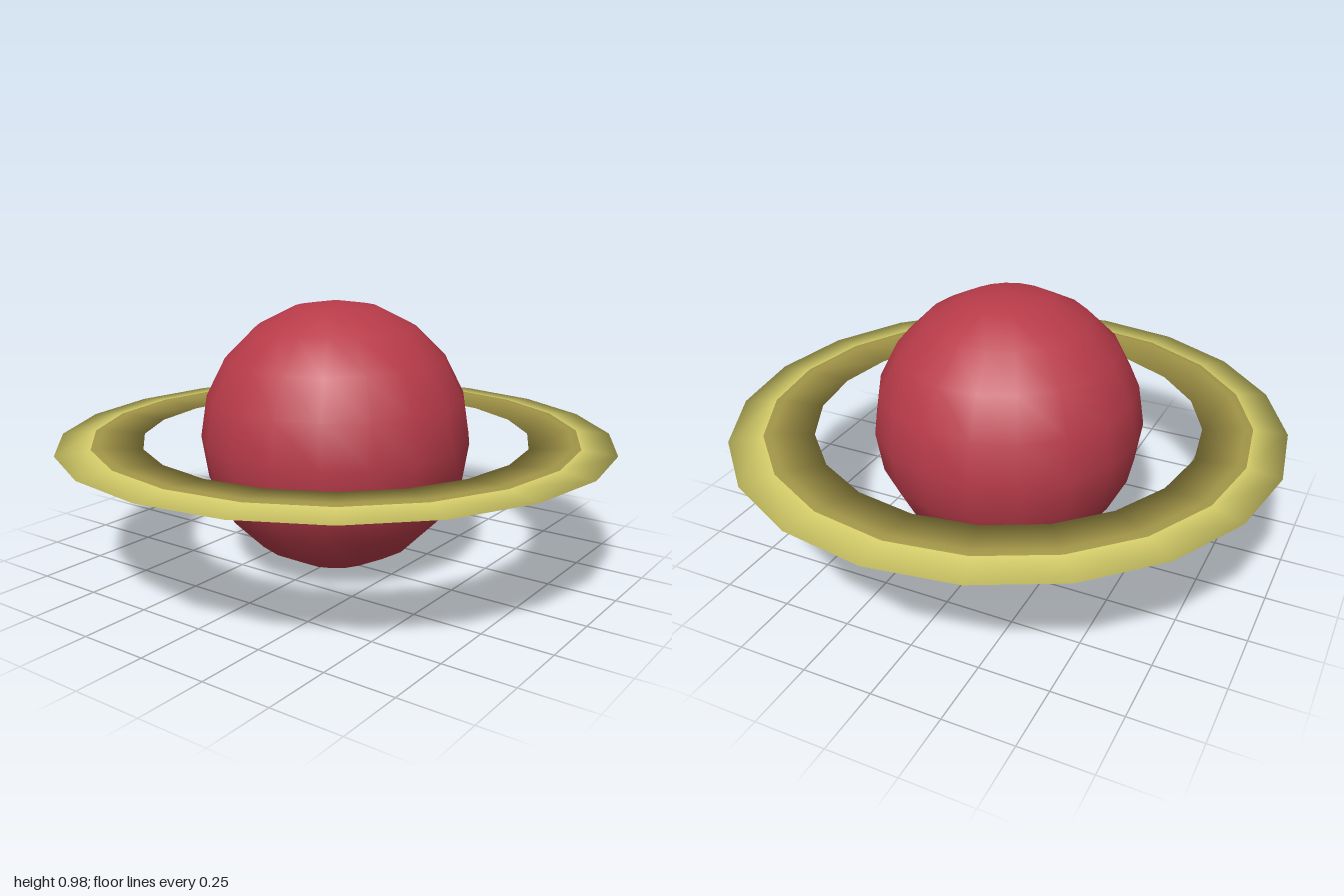
import * as THREE from 'three';

const CENTRE_Y = 0.495;

// Revolved strip; each profile entry is [radius, y, normalR, normalY], listed counter-clockwise.
function revolve(profile, segments) {
  const points = profile.map(([r, y]) => new THREE.Vector2(r, y));
  const geometry = new THREE.LatheGeometry(points, segments);
  const normals = geometry.attributes.normal;
  for (let i = 0; i <= segments; i++) {
    const a = (i / segments) * Math.PI * 2;
    profile.forEach(([, , nr, ny], j) => {
      const n = new THREE.Vector3(nr * Math.sin(a), ny, nr * Math.cos(a)).normalize();
      normals.setXYZ(i * profile.length + j, n.x, n.y, n.z);
    });
  }
  return geometry;
}

export function createModel() {
  const model = new THREE.Group();
  model.name = 'ringedPlanet';

  const red = new THREE.MeshStandardMaterial({ color: 0xb83b49 });
  red.name = 'planetRed';
  const yellow = new THREE.MeshStandardMaterial({ color: 0xd6ce6a });
  yellow.name = 'ringYellow';
  const gold = new THREE.MeshStandardMaterial({ color: 0xa39548 });
  gold.name = 'ringGold';

  const add = (name, geometry, material) => {
    const mesh = new THREE.Mesh(geometry, material);
    mesh.name = name;
    mesh.position.y = CENTRE_Y;
    model.add(mesh);
  };

  // Planet, with its equator corners on the z axis
  add('planet', new THREE.SphereGeometry(0.49, 18, 10).rotateY(Math.PI / 2), red);

  // Flat ring with a diamond cross-section and rounded shading
  const inner = 0.7, mid = 0.85, outer = 1, half = 0.015, border = 0.878;
  const t = (border - mid) / (outer - mid);
  const rim = [outer, 0, 1, 0];
  const seam = [border, half * (1 - t), t, 1 - t];
  const crest = [mid, half, 0, 1];
  const innerRim = [inner, 0, -1, 0];
  const keel = [mid, -half, 0, -1];

  add('outerRingBand', revolve([rim, seam], 20), yellow);
  add('innerRingBand', revolve([seam, crest, innerRim], 20), gold);
  add('ringUnderside', revolve([innerRim, keel, rim], 20), gold);

  return model;
}
